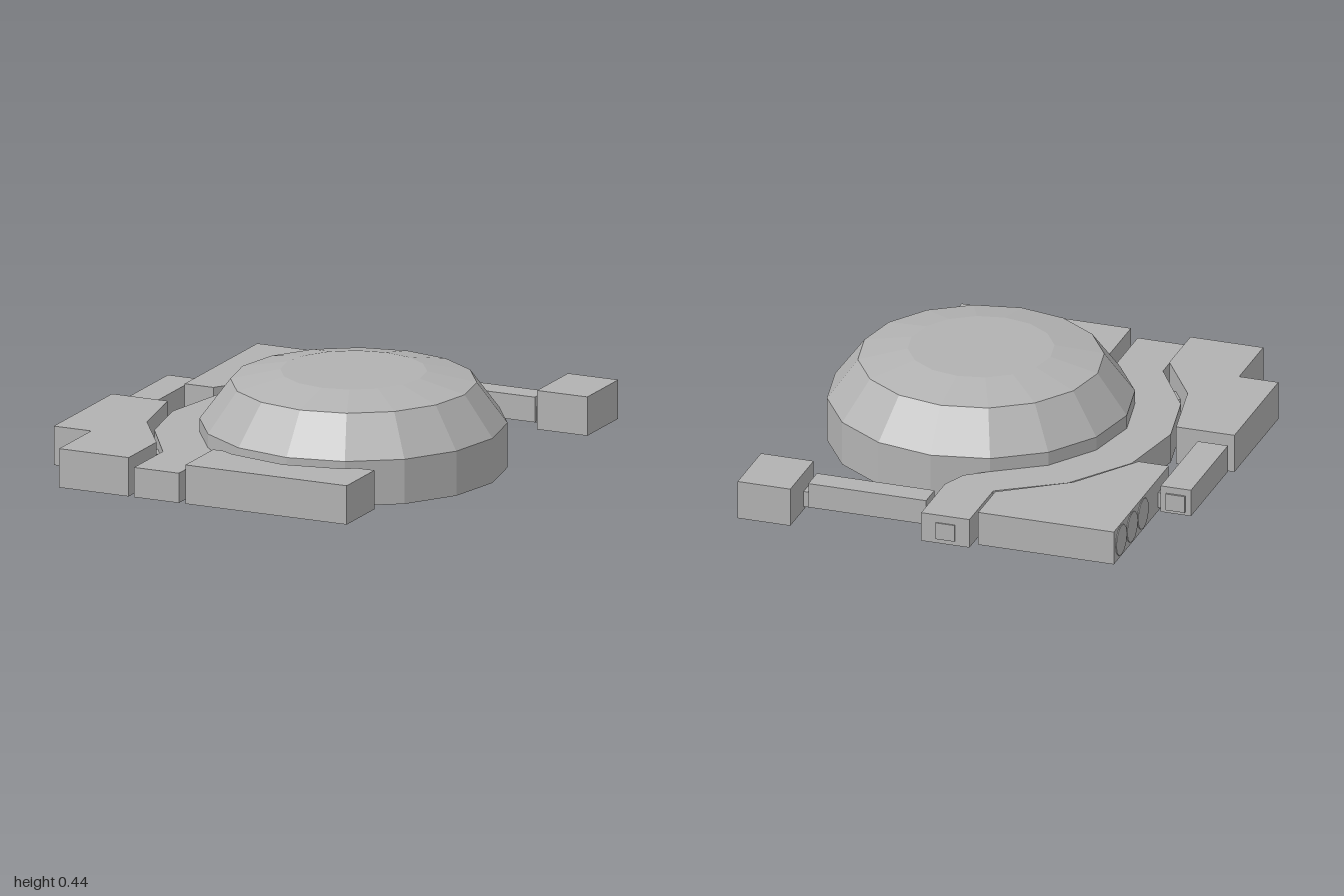
import * as THREE from 'three';

export function createModel() {
  const model = new THREE.Group();
  const grey = new THREE.MeshStandardMaterial({ color: 0xb2b2b2, flatShading: true });

  const add = (name, geometry) => {
    const mesh = new THREE.Mesh(geometry, grey);
    mesh.name = name;
    model.add(mesh);
    return mesh;
  };

  // Flat plate from an outline of [x, z] points
  const plate = (name, points, y0, y1) => {
    const shape = new THREE.Shape(points.map(([x, z]) => new THREE.Vector2(x, -z)));
    const g = new THREE.ExtrudeGeometry(shape, { depth: y1 - y0, bevelEnabled: false });
    return add(name, g.rotateX(-Math.PI / 2).translate(0, y0, 0));
  };

  // Box from its limits
  const block = (name, x0, x1, y0, y1, z0, z1) => {
    const g = new THREE.BoxGeometry(x1 - x0, y1 - y0, z1 - z0);
    return add(name, g.translate((x0 + x1) / 2, (y0 + y1) / 2, (z0 + z1) / 2));
  };

  // Faceted dome with a raised foot ring, recess and central hub underneath
  const profile = [
    [0, 0.005], [0.083, 0.005], [0.083, 0.06], [0.215, 0.06], [0.215, 0],
    [0.435, 0], [0.435, 0.025], [0.65, 0.025], [0.65, 0.22], [0.52, 0.395],
    [0.31, 0.44], [0, 0.44],
  ].map(([r, y]) => new THREE.Vector2(r, y));
  add('dome', new THREE.LatheGeometry(profile, 16)).position.set(0.215, 0, 0.125);

  // Curved band wrapping the dome
  plate('curvedBand', [
    [-0.11, -0.96], [0.105, -0.96], [0.105, -0.655], [0.06, -0.545], [-0.04, -0.47],
    [-0.2, -0.3], [-0.37, 0.125], [-0.24, 0.585], [-0.19, 0.65], [-0.18, 0.715],
    [-0.18, 1], [-0.39, 1], [-0.39, 0.72], [-0.57, 0.43], [-0.63, 0.13],
    [-0.57, -0.2], [-0.385, -0.47], [-0.11, -0.655],
  ], 0.03, 0.16);
  block('bandEndTab', -0.045, 0.04, 0.05, 0.125, -0.966, -0.95);

  // Corner plates
  plate('backPlate', [
    [-0.74, -0.92], [-0.135, -0.92], [-0.135, -0.7], [-0.415, -0.5],
    [-0.605, -0.215], [-0.74, -0.215],
  ], 0.03, 0.18);
  plate('sidePlate', [
    [-0.915, 0.125], [-0.655, 0.125], [-0.59, 0.46], [-0.415, 0.73], [-0.415, 1],
    [-0.74, 1], [-0.74, 0.69], [-0.915, 0.69],
  ], 0.03, 0.2);
  plate('frontPlate', [
    [-0.15, 1], [0.605, 1], [0.605, 0.73], [0.52, 0.73], [0.475, 0.765],
    [0.215, 0.815], [-0.05, 0.76], [-0.1, 0.73], [-0.15, 0.73],
  ], 0.03, 0.2);

  // Three shallow discs on the back plate's outer face
  for (const z of [-0.83, -0.69, -0.55]) {
    const g = new THREE.CylinderGeometry(0.068, 0.068, 0.008, 12).rotateZ(Math.PI / 2);
    add('sideDisc', g).position.set(-0.74, 0.105, z);
  }

  // Long bar, end cube and outer side bar
  block('endCube', 0.675, 0.91, 0.03, 0.2, -1, -0.7);
  block('longBar', 0.125, 0.65, 0.05, 0.16, -0.84, -0.73);
  block('sideBar', -0.895, -0.76, 0.04, 0.16, -0.375, 0.1);
  block('sideBarEndTab', -0.87, -0.785, 0.055, 0.13, -0.384, -0.37);

  // Connectors bridging the gaps
  const links = [
    [0.64, 0.685, -0.83, -0.745], [0.095, 0.135, -0.83, -0.745],
    [-0.145, -0.1, -0.83, -0.745], [-0.425, -0.38, 0.825, 0.91],
    [-0.19, -0.14, 0.825, 0.91], [-0.87, -0.785, 0.09, 0.135],
    [-0.77, -0.73, -0.35, -0.265],
  ];
  for (const [x0, x1, z0, z1] of links) block('connector', x0, x1, 0.045, 0.115, z0, z1);
  const slanted = block('slantedConnector', -0.04, 0.04, 0.045, 0.115, -0.04, 0.04);
  slanted.position.set(-0.49, 0, 0.595);
  slanted.rotation.y = -1.0;

  return model;
}
